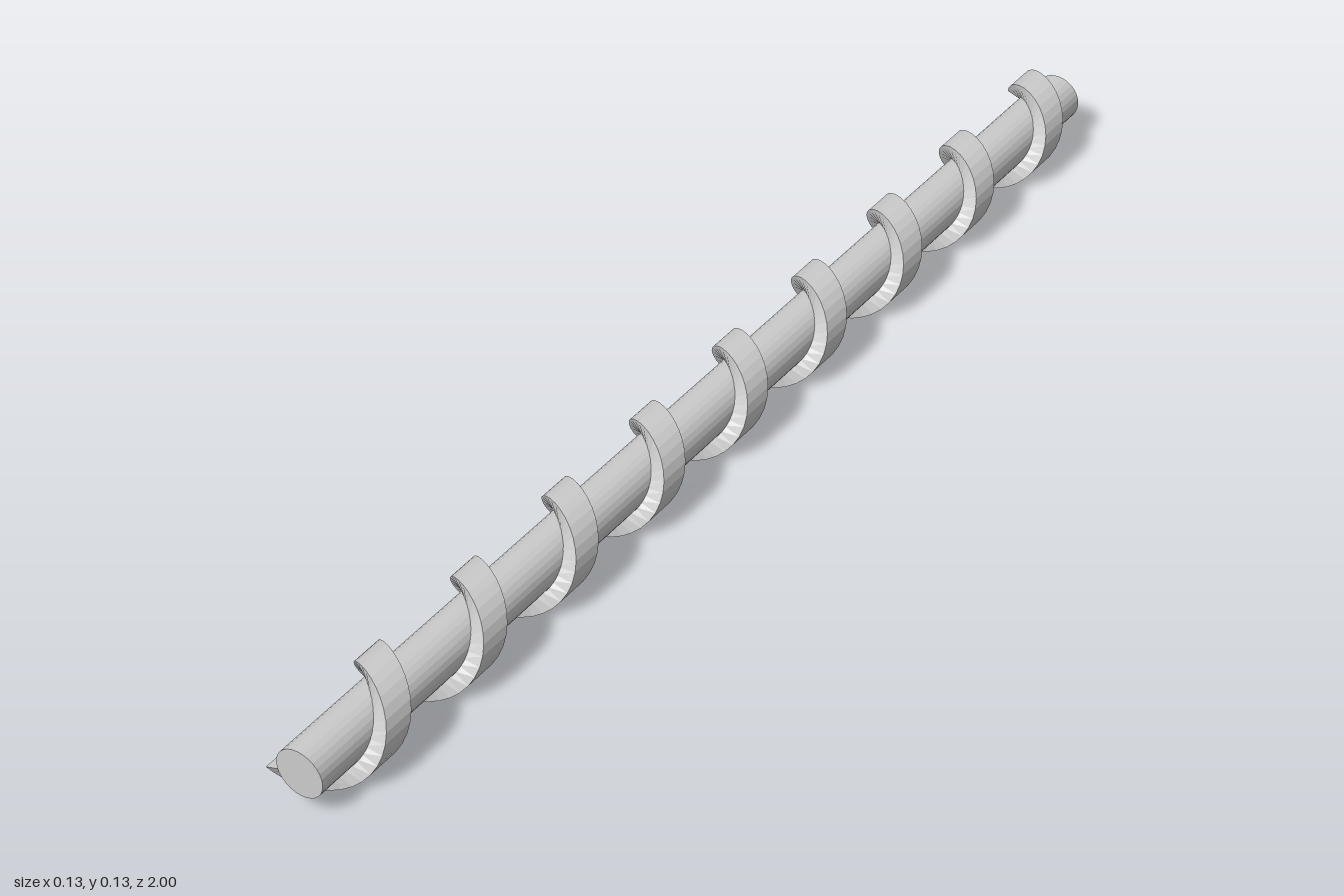
import * as THREE from 'three';

const AXIS_Y = 0.065;      // height of the shaft axis
const SHAFT_R = 0.04;
const FLIGHT_R = 0.0655;
const TURNS = 8.9;
const FLIGHT_Z = 0.97;     // helix runs from +z to -z
const HALF_THICK = 0.0275;
const START = THREE.MathUtils.degToRad(199);

// Rectangular section swept along a helix, capped at both ends
function helixGeometry() {
  const steps = Math.round(TURNS * 28);
  const section = [
    [SHAFT_R - 0.005, HALF_THICK],
    [FLIGHT_R, HALF_THICK],
    [FLIGHT_R, -HALF_THICK],
    [SHAFT_R - 0.005, -HALF_THICK],
  ];
  const positions = [];
  const index = [];
  for (let i = 0; i <= steps; i++) {
    const t = i / steps;
    const a = START + t * TURNS * Math.PI * 2;
    const z = FLIGHT_Z * (1 - 2 * t);
    for (const [r, dz] of section) {
      positions.push(r * Math.cos(a), r * Math.sin(a), z + dz);
    }
  }
  for (let i = 0; i < steps; i++) {
    for (let k = 0; k < 4; k++) {
      const a = i * 4 + k;
      const b = i * 4 + (k + 1) % 4;
      index.push(a, b, b + 4, a, b + 4, a + 4);
    }
  }
  const e = steps * 4;
  index.push(0, 2, 1, 0, 3, 2, e, e + 1, e + 2, e, e + 2, e + 3);

  const geometry = new THREE.BufferGeometry();
  geometry.setAttribute('position', new THREE.Float32BufferAttribute(positions, 3));
  geometry.setIndex(index);
  const flat = geometry.toNonIndexed();
  flat.computeVertexNormals();
  return flat;
}

export function createModel() {
  const group = new THREE.Group();
  group.name = 'auger';
  const material = new THREE.MeshStandardMaterial({ color: 0xcccccc, flatShading: true });

  // Straight core along z
  const shaft = new THREE.Mesh(
    new THREE.CylinderGeometry(SHAFT_R, SHAFT_R, 2, 28).rotateX(Math.PI / 2),
    material
  );
  shaft.name = 'shaft';

  // Spiral blade wound around the core
  const flight = new THREE.Mesh(helixGeometry(), material);
  flight.name = 'spiralFlight';

  for (const mesh of [shaft, flight]) {
    mesh.position.y = AXIS_Y;
    group.add(mesh);
  }
  return group;
}
